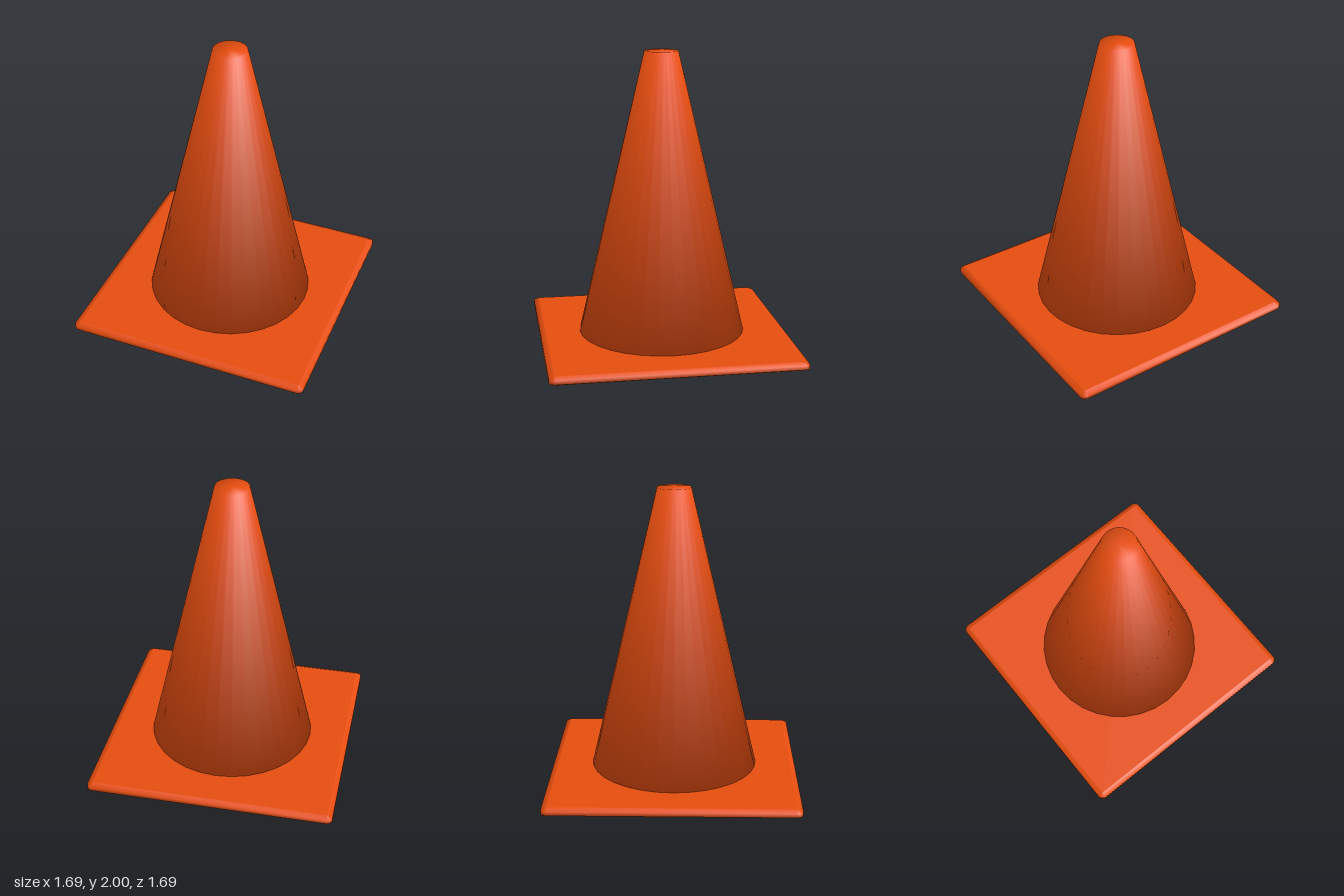
import * as THREE from 'three';
import { mergeVertices } from 'three/addons/utils/BufferGeometryUtils.js';

const HALF = 0.845, CORNER = 0.04, BEVEL = 0.035, BEVEL_H = 0.016, THICK = 0.06;
const BOTTOM_Y = 0.05, TOP_Y = 2, BOTTOM_R = 0.573, TOP_R = 0.115;

// Square with rounded corners, centred on the origin
function roundedSquare(h, r) {
  const s = new THREE.Shape();
  for (let i = 0; i < 4; i++) {
    const a = i * Math.PI / 2;
    const q = a + Math.PI / 4;
    const cx = Math.sign(Math.cos(q)) * (h - r), cy = Math.sign(Math.sin(q)) * (h - r);
    s.absarc(cx, cy, r, a, a + Math.PI / 2, false);
  }
  s.closePath();
  return s;
}

// Flat base slab with bevelled rims and smooth shading
function basePlate() {
  let g = new THREE.ExtrudeGeometry(roundedSquare(HALF, CORNER), {
    depth: THICK - 2 * BEVEL_H, bevelEnabled: true, bevelSize: BEVEL,
    bevelOffset: -BEVEL, bevelThickness: BEVEL_H, bevelSegments: 1, curveSegments: 4,
  });
  g.rotateX(-Math.PI / 2);
  g.translate(0, BEVEL_H, 0);
  g.deleteAttribute('uv');
  g.deleteAttribute('normal');
  g = mergeVertices(g, 1e-4);
  g.computeVertexNormals();
  return g;
}

// Capped tapering body; rim normals are averaged between wall and cap
function coneBody() {
  const h = TOP_Y - BOTTOM_Y;
  const g = new THREE.CylinderGeometry(TOP_R, BOTTOM_R, h, 32, 1);
  g.translate(0, BOTTOM_Y + h / 2, 0);
  const slope = Math.atan2(BOTTOM_R - TOP_R, h);
  const p = g.attributes.position, n = g.attributes.normal;
  for (let i = 0; i < p.count; i++) {
    const r = Math.hypot(p.getX(i), p.getZ(i));
    if (r < 1e-4) continue;
    const side = p.getY(i) > 1 ? 1 : -1;
    const tilt = (slope + side * Math.PI / 2) / 2;
    const c = Math.cos(tilt) / r;
    n.setXYZ(i, p.getX(i) * c, Math.sin(tilt), p.getZ(i) * c);
  }
  return g;
}

export function createModel() {
  const group = new THREE.Group();
  group.name = 'trafficCone';
  const orange = new THREE.MeshStandardMaterial({ color: 0xe64d0f });
  const add = (name, geometry) => {
    const mesh = new THREE.Mesh(geometry, orange);
    mesh.name = name;
    group.add(mesh);
  };
  add('basePlate', basePlate());
  add('coneBody', coneBody());
  return group;
}
